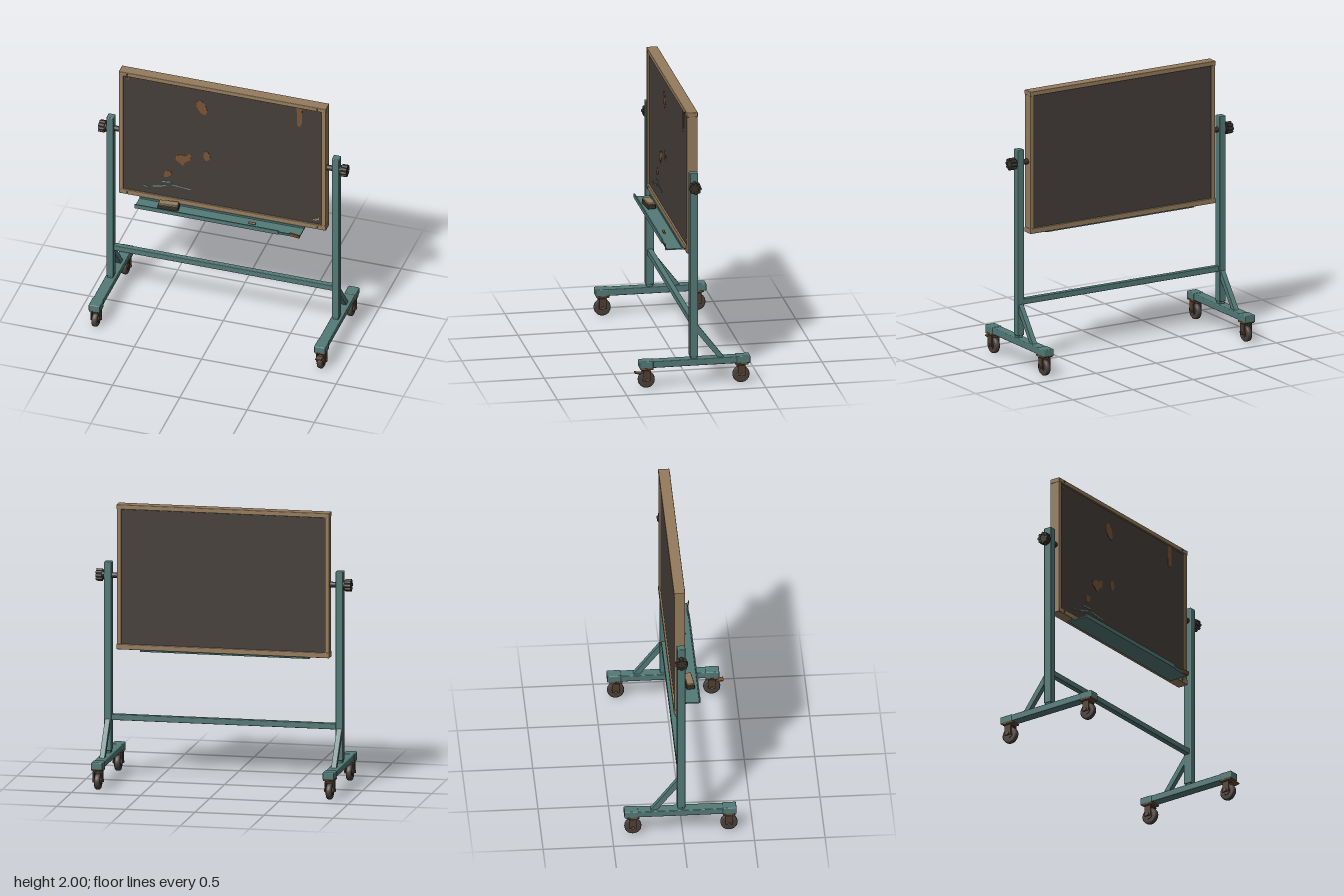
import * as THREE from 'three';
import { RoundedBoxGeometry } from 'three/addons/geometries/RoundedBoxGeometry.js';

const material = (name, color, extra = {}) => {
  const m = new THREE.MeshStandardMaterial({ color, ...extra });
  m.name = name;
  return m;
};

export function createModel() {
  const teal = material('teal paint', 0x537a76);
  const wood = material('worn wood', 0x967c5d);
  const slate = material('board slate', 0x453e39);
  const rust = material('rust', 0x785234);
  const black = material('dark plastic', 0x38312c);
  const rubber = material('wheel rubber', 0x4a413c);
  const metal = material('caster metal', 0x4f3f33);
  const mint = material('chalk mark', 0x6f9a96);
  const pale = material('pale chip', 0xb5a184);

  const model = new THREE.Group();
  model.name = 'rollingBoard';

  const add = (parent, name, geometry, mat, x = 0, y = 0, z = 0) => {
    const mesh = new THREE.Mesh(geometry, mat);
    mesh.name = name;
    mesh.position.set(x, y, z);
    parent.add(mesh);
    return mesh;
  };
  // Boxes given by their min and max corners, with an optional softened edge
  const box = (parent, name, mat, [x0, x1], [y0, y1], [z0, z1], r = 0) => {
    const s = [x1 - x0, y1 - y0, z1 - z0];
    const g = r ? new RoundedBoxGeometry(...s, 2, r) : new THREE.BoxGeometry(...s);
    return add(parent, name, g, mat, (x0 + x1) / 2, (y0 + y1) / 2, (z0 + z1) / 2);
  };
  // Cylinder lying along x
  const axle = (parent, name, mat, r, length, x, y, z, sides = 24) =>
    add(parent, name, new THREE.CylinderGeometry(r, r, length, sides).rotateZ(Math.PI / 2), mat, x, y, z);
  const outline = (points) => new THREE.Shape(points.map(([x, y]) => new THREE.Vector2(x, y)));

  // Framed board
  const board = new THREE.Group();
  board.name = 'board';
  model.add(board);
  box(board, 'slatePanel', slate, [-0.745, 0.745], [0.98, 1.98], [-0.042, 0.012]);
  box(board, 'topRail', wood, [-0.77, 0.77], [1.967, 2], [-0.055, 0.025], 0.004);
  box(board, 'bottomRail', wood, [-0.77, 0.77], [0.955, 0.993], [-0.055, 0.025], 0.004);
  for (const s of [-1, 1]) {
    box(board, 'sideRail', wood, [s * 0.7525 - 0.0155, s * 0.7525 + 0.0155], [0.99, 1.97], [-0.053, 0.023], 0.003);
    for (const y of [0.974, 1.984])
      add(board, 'frameScrew', new THREE.CylinderGeometry(0.007, 0.007, 0.004, 10).rotateX(Math.PI / 2),
        black, s * 0.707, y, 0.026);
  }

  // Worn patches on the face
  const patches = [
    [[-0.187, 1.86], [-0.16, 1.87], [-0.13, 1.84], [-0.112, 1.785], [-0.13, 1.75], [-0.16, 1.76], [-0.187, 1.795], [-0.198, 1.823]],
    [[0.55, 1.965], [0.592, 1.965], [0.588, 1.83], [0.575, 1.8], [0.552, 1.81]],
    [[-0.134, 1.437], [-0.107, 1.437], [-0.092, 1.4], [-0.102, 1.368], [-0.13, 1.357], [-0.145, 1.395]],
    [[-0.345, 1.357], [-0.31, 1.373], [-0.277, 1.368], [-0.25, 1.394], [-0.235, 1.378], [-0.24, 1.341],
      [-0.277, 1.315], [-0.298, 1.278], [-0.325, 1.304], [-0.351, 1.32]],
    [[-0.425, 1.214], [-0.388, 1.214], [-0.378, 1.188], [-0.41, 1.161], [-0.436, 1.156], [-0.436, 1.183]],
    [[-0.72, 1.95], [-0.697, 1.95], [-0.7, 1.935], [-0.715, 1.935]],
  ];
  for (const p of patches)
    add(board, 'wornPatch', new THREE.ExtrudeGeometry(outline(p), { depth: 0.002, bevelEnabled: false }), rust, 0, 0, 0.012);

  // Chalk strokes and pale chips
  const stroke = (name, mat, [x0, y0, x1, y1], width) => {
    const dx = x1 - x0, dy = y1 - y0;
    const m = add(board, name, new THREE.BoxGeometry(Math.hypot(dx, dy), width, 0.003), mat,
      (x0 + x1) / 2, (y0 + y1) / 2, 0.013);
    m.rotation.z = Math.atan2(dy, dx);
  };
  for (const s of [[-0.59, 1.055, -0.558, 1.045], [-0.52, 1.06, -0.46, 1.072], [-0.46, 1.072, -0.415, 1.09],
    [-0.457, 1.114, -0.383, 1.12], [-0.377, 1.1, -0.24, 1.088]]) stroke('chalkStroke', mint, s, 0.008);
  for (const s of [[0.672, 1.027, 0.698, 1.025], [0.69, 1.038, 0.712, 1.03], [0.708, 1.028, 0.713, 1.05]])
    stroke('paleChip', pale, s, 0.009);

  // Tray with a bent, rusted corner
  const tray = new THREE.Group();
  tray.name = 'tray';
  model.add(tray);
  box(tray, 'trayShelf', teal, [-0.615, 0.61], [0.935, 0.944], [-0.01, 0.138]);
  box(tray, 'trayBackFlange', teal, [-0.615, 0.61], [0.935, 0.957], [0.022, 0.03]);
  box(tray, 'trayLip', teal, [-0.615, 0.455], [0.935, 0.966], [0.136, 0.145]);
  const bentLip = box(tray, 'bentLip', teal, [0.455, 0.545], [0.935, 0.956], [0.132, 0.14]);
  bentLip.rotation.x = 0.25;
  const rustyCorner = box(tray, 'rustyCorner', rust, [0.54, 0.612], [0.937, 0.966], [0.138, 0.146]);
  rustyCorner.rotation.set(0.2, -0.16, 0);

  // Eraser and chalk stub resting on the tray
  const eraser = new THREE.Group();
  eraser.name = 'eraser';
  eraser.position.set(-0.38, 0.944, 0.08);
  eraser.rotation.y = 0.1;
  tray.add(eraser);
  box(eraser, 'eraserFelt', black, [-0.075, 0.075], [0, 0.032], [-0.03, 0.03], 0.004);
  box(eraser, 'eraserBack', wood, [-0.07, 0.07], [0.03, 0.046], [-0.026, 0.026], 0.004);
  axle(tray, 'chalkStub', rust, 0.008, 0.05, 0.243, 0.952, 0.09, 12);

  // Swivel caster, origin under the foot at floor level
  const addCaster = (x, z, brake) => {
    const c = new THREE.Group();
    c.name = 'caster';
    c.position.set(x, 0, z);
    model.add(c);
    box(c, 'casterPlate', rust, [-0.04, 0.04], [0.14, 0.151], [-0.045, 0.045]);
    add(c, 'swivelStem', new THREE.CylinderGeometry(0.025, 0.025, 0.024, 20), metal, 0, 0.13, 0);
    box(c, 'forkBridge', metal, [-0.034, 0.034], [0.122, 0.132], [-0.027, 0.027]);
    for (const s of [-1, 1]) {
      box(c, 'forkArm', metal, [s * 0.03 - 0.004, s * 0.03 + 0.004], [0.055, 0.124], [-0.026, 0.026]);
      axle(c, 'axleNut', rust, 0.011, 0.008, s * 0.037, 0.065, 0, 6);
    }
    const tyre = [[0, -0.02], [0.052, -0.02], [0.059, -0.014], [0.061, 0], [0.059, 0.014], [0.052, 0.02], [0, 0.02]];
    add(c, 'wheel', new THREE.LatheGeometry(tyre.map(([r, y]) => new THREE.Vector2(r, y)), 32)
      .rotateZ(Math.PI / 2), rubber, 0, 0.061, 0);
    axle(c, 'wheelHub', metal, 0.03, 0.048, 0, 0.063, 0);
    if (brake) {
      const lever = box(c, 'brakeLever', rust, [-0.022, 0.022], [0.106, 0.114], [0.02, 0.083]);
      lever.rotation.x = -0.15;
    }
  };

  // Stand sides: post, foot, brace, knob and casters
  const brace = outline([[0.035, 0.452], [0.035, 0.385], [0.182, 0.198], [0.228, 0.198]]);
  for (const s of [-1, 1]) {
    const cx = s * 0.838;
    const span = (half) => [cx - half, cx + half];
    box(model, 'post', teal, span(0.027), [0.215, 1.58], [-0.04, 0.02], 0.006);
    box(model, 'postSocket', teal, span(0.02), [0.198, 0.22], [-0.033, 0.013]);
    box(model, 'foot', teal, span(0.038), [0.152, 0.2], [-0.408, 0.376], 0.006);
    for (const z of [[-0.414, -0.315], [0.285, 0.382]])
      box(model, 'footCap', teal, span(0.041), [0.149, 0.203], z, 0.007);
    const g = new THREE.ExtrudeGeometry(brace, { depth: 0.036, bevelEnabled: false });
    g.translate(0, 0, -0.018).rotateY(Math.PI / 2);
    add(model, 'brace', g, teal, cx, 0, 0);

    axle(model, 'pivotShaft', black, 0.02, 0.15, s * 0.825, 1.48, -0.01);
    axle(model, 'pivotWasher', metal, 0.027, 0.008, s * 0.868, 1.48, -0.01);
    axle(model, 'knobCore', black, 0.034, 0.05, s * 0.893, 1.48, -0.01);
    for (let i = 0; i < 8; i++) {
      const a = (i / 8) * Math.PI * 2;
      axle(model, 'knobLobe', black, 0.012, 0.044, s * 0.9,
        1.48 + Math.sin(a) * 0.033, -0.01 + Math.cos(a) * 0.033, 12);
    }
    addCaster(cx, 0.33, s > 0);
    addCaster(cx, -0.352, false);
  }
  box(model, 'crossbar', teal, [-0.812, 0.812], [0.438, 0.48], [-0.03, 0.01], 0.004);

  return model;
}
